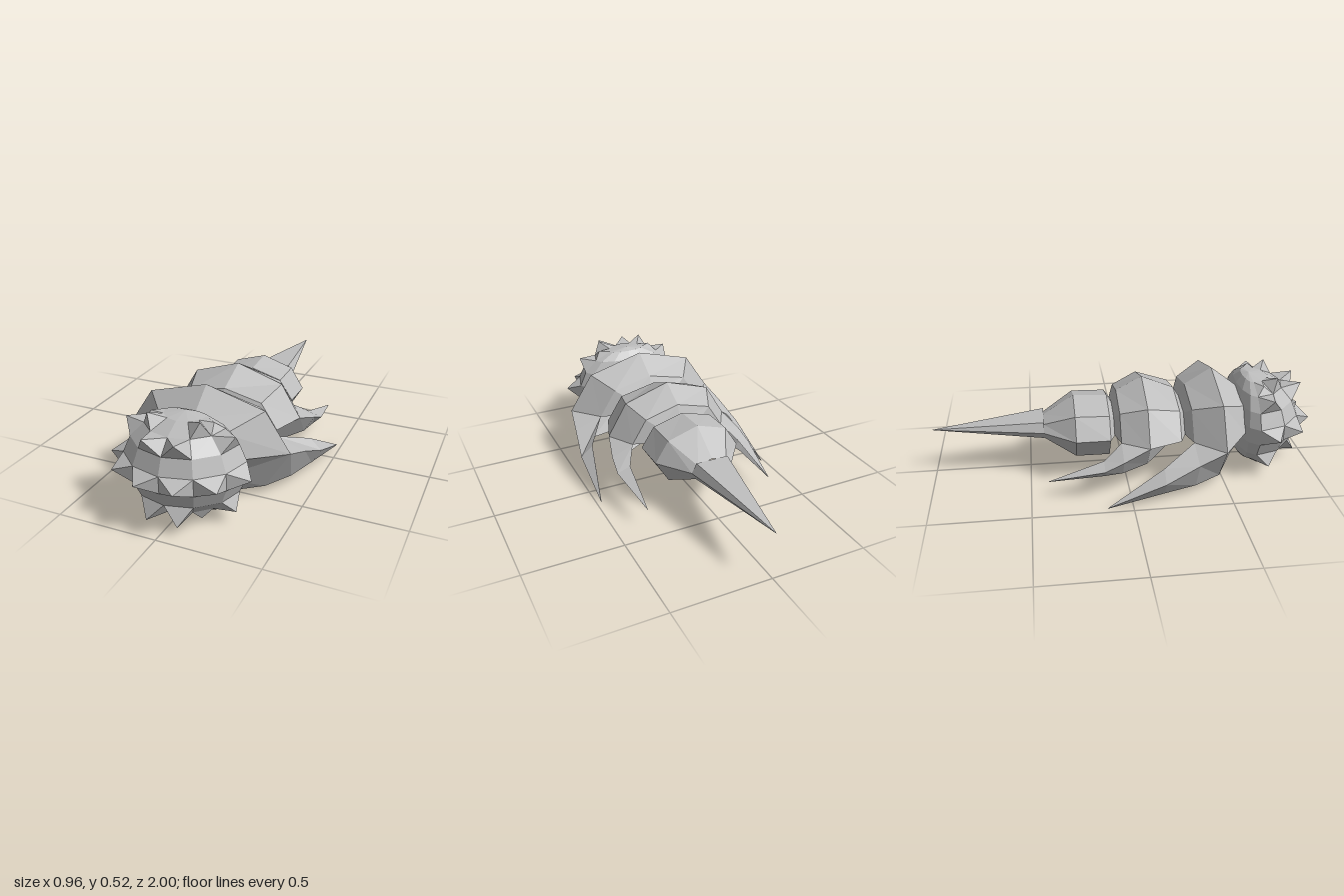
import * as THREE from 'three';

const shellGrey = new THREE.MeshStandardMaterial({ color: 0xbebebe, flatShading: true, side: THREE.DoubleSide });
shellGrey.name = 'shellGrey';

// Mesh from a list of triangle corners
function facets(name, points) {
  const g = new THREE.BufferGeometry();
  g.setAttribute('position', new THREE.Float32BufferAttribute(points.flat(), 3));
  g.computeVertexNormals();
  const mesh = new THREE.Mesh(g, shellGrey);
  mesh.name = name;
  return mesh;
}

// Open skin over rows of [x, y, z], ordered front to back, each anticlockwise from the front
function sheet(name, rows) {
  const pts = [];
  for (let i = 0; i + 1 < rows.length; i++) {
    const a = rows[i], b = rows[i + 1];
    for (let j = 0; j + 1 < a.length; j++) pts.push(a[j], b[j], a[j + 1], a[j + 1], b[j], b[j + 1]);
  }
  return facets(name, pts);
}

// Arched back plate row: depth, half width, shoulder height and ridge height
const arch = ([z, w, shoulder, ridge]) => [
  [w, 0.25, z], [w * 0.7, shoulder, z], [0, ridge, z], [-w * 0.7, shoulder, z], [-w, 0.25, z]
];

// Side wall below the arch: rows of [z, hem, crease, upper edge], mirrored for the right
function sideWall(name, rows, side) {
  return sheet(name, rows.map(([z, ...pts]) => {
    const r = pts.map(([x, y]) => [x * side, y, z]);
    return side < 0 ? r.reverse() : r;
  }));
}

// Faceted ball, flattened behind, with a pyramid raised on chosen front cells
function createHead() {
  const at = (lat, az, f = 1) => {
    const a = THREE.MathUtils.degToRad(az), l = THREE.MathUtils.degToRad(lat);
    const z = Math.cos(l) * Math.cos(a);
    return [0.3 * f * Math.cos(l) * Math.sin(a), 0.25 + 0.24 * f * Math.sin(l),
      0.676 + f * z * (z > 0 ? 0.275 : 0.1)];
  };
  const spikeScale = (lat, az) => {
    const row = Math.abs(lat), col = Math.abs(az);
    if (col > 90) return 0;
    if (row === 0) return 1.22;
    if (row === 40 && col !== 45) return col > 60 ? 1.22 : 1.3;
    if (row === 60 && col > 30) return col > 60 ? 1.08 : lat > 0 ? 1.22 : 1.13;
    return 0;
  };
  const pts = [];
  for (let lat = -80; lat <= 80; lat += 20) {
    for (let az = -165; az <= 165; az += 30) {
      const c = [at(lat - 10, az - 15), at(lat - 10, az + 15), at(lat + 10, az + 15), at(lat + 10, az - 15)];
      const f = spikeScale(lat, az);
      if (f) c.forEach((p, i) => pts.push(p, c[(i + 1) % 4], at(lat, az, f)));
      else pts.push(c[0], c[1], c[2], c[0], c[2], c[3]);
    }
  }
  return facets('spikedHead', pts);
}

export function createModel() {
  const model = new THREE.Group();
  model.name = 'armouredGrub';
  model.add(createHead());

  // Back plates with narrow necks between them
  model.add(sheet('frontBackPlate', [
    [0.615, 0.23, 0.37, 0.415], [0.47, 0.425, 0.445, 0.528],
    [0.33, 0.3, 0.39, 0.44], [0.3, 0.21, 0.345, 0.375]].map(arch)));
  model.add(sheet('middleBackPlate', [
    [0.3, 0.21, 0.345, 0.375], [0.27, 0.28, 0.38, 0.425], [0.1, 0.34, 0.42, 0.497],
    [-0.035, 0.26, 0.375, 0.425], [-0.06, 0.175, 0.33, 0.36]].map(arch)));
  model.add(sheet('rearBackPlate', [
    [-0.06, 0.175, 0.33, 0.36], [-0.085, 0.23, 0.355, 0.4], [-0.26, 0.23, 0.36, 0.41],
    [-0.42, 0.11, 0.285, 0.305]].map(arch)));

  // Tail: a tapering six-sided spike
  const tailRing = (z, s) => [[0.11, 0], [0.085, 0.05], [-0.085, 0.05], [-0.11, 0], [-0.085, -0.04], [0.085, -0.04], [0.11, 0]]
    .map(([x, y]) => [x * s, 0.25 + y * s, z]);
  model.add(sheet('tailSpike', [tailRing(-0.42, 1), tailRing(-1, 0.01)]));

  // Curled side walls; the first two sweep back into blades
  const walls = {
    FrontBlade: [
      [0.61, [0, 0.003], [0.115, 0.126], [0.23, 0.25]],
      [0.47, [0.3, 0.05], [0.425, 0.25], [0.425, 0.25]],
      [0.33, [0.38, 0.048], [0.45, 0.2], [0.3, 0.25]],
      [0.16, [0.43, 0.045], [0.48, 0.125], [0.415, 0.18]],
      [-0.13, [0.479, 0.01], [0.48, 0.012], [0.478, 0.012]]
    ],
    MiddleBlade: [
      [0.27, [0, 0.1], [0.14, 0.175], [0.28, 0.25]],
      [0.1, [0.25, 0.115], [0.34, 0.25], [0.34, 0.25]],
      [-0.035, [0.32, 0.11], [0.375, 0.2], [0.26, 0.25]],
      [-0.13, [0.335, 0.11], [0.385, 0.16], [0.315, 0.185]],
      [-0.41, [0.341, 0.1], [0.342, 0.102], [0.34, 0.102]]
    ],
    RearWall: [
      [-0.085, [0.15, 0.128], [0.19, 0.19], [0.23, 0.25]],
      [-0.26, [0.16, 0.135], [0.195, 0.192], [0.23, 0.25]],
      [-0.42, [0.08, 0.21], [0.095, 0.23], [0.11, 0.25]]
    ]
  };
  for (const [name, rows] of Object.entries(walls)) {
    model.add(sideWall('left' + name, rows, 1), sideWall('right' + name, rows, -1));
  }
  return model;
}
